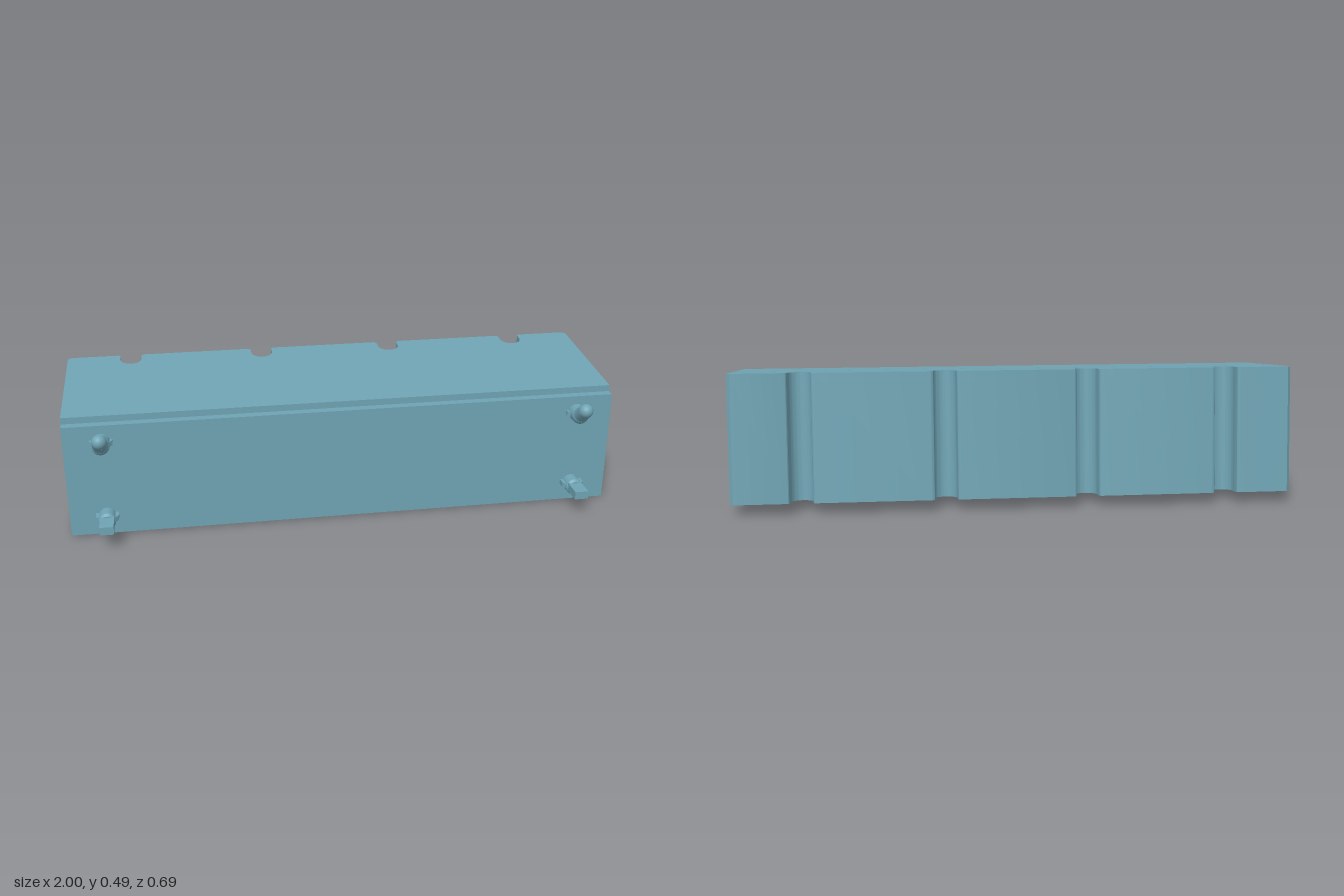
import * as THREE from 'three';
import { toCreasedNormals } from 'three/addons/utils/BufferGeometryUtils.js';

const material = new THREE.MeshStandardMaterial({ color: 0x6fa3b3 });
const TILT = THREE.MathUtils.degToRad(5);

function add(parent, name, geometry) {
  const mesh = new THREE.Mesh(geometry, material);
  mesh.name = name;
  parent.add(mesh);
  return mesh;
}

// Extrudes a side outline of [z, y] points from x0 (right end) down to x1
function sideExtrude(points, x0, x1) {
  const shape = new THREE.Shape(points.map(([z, y]) => new THREE.Vector2(z, y)));
  const g = new THREE.ExtrudeGeometry(shape, { depth: x0 - x1, bevelEnabled: false });
  const m = new THREE.Matrix4().makeBasis(
    new THREE.Vector3(0, 0, 1), new THREE.Vector3(0, 1, 0), new THREE.Vector3(-1, 0, 0));
  return g.applyMatrix4(m.setPosition(x0, 0, 0));
}

// Leaning back wall: plan outline with round grooves, extruded along its slope
function backWallGeometry() {
  const s = new THREE.Shape();
  const r = 0.04, depth = 0.08, lip = 0.014, chamfer = 0.012;
  s.moveTo(-1, -0.203);
  s.lineTo(1, -0.203);
  s.lineTo(1, -chamfer);
  s.lineTo(1 - chamfer, 0);
  for (const x of [0.755, 0.25, -0.255, -0.76]) {
    s.lineTo(x + r + lip, 0);
    s.quadraticCurveTo(x + r, 0, x + r, -lip);
    s.lineTo(x + r, r - depth);
    s.absarc(x, r - depth, r, 0, -Math.PI, true);
    s.lineTo(x - r, -lip);
    s.quadraticCurveTo(x - r, 0, x - r - lip, 0);
  }
  s.lineTo(-1 + chamfer, 0);
  s.lineTo(-1, -chamfer);
  s.closePath();
  const g = new THREE.ExtrudeGeometry(s, { depth: 0.4537, bevelEnabled: false, curveSegments: 12 });
  const sin = Math.sin(TILT), cos = Math.cos(TILT);
  const m = new THREE.Matrix4().makeBasis(
    new THREE.Vector3(1, 0, 0), new THREE.Vector3(0, sin, -cos), new THREE.Vector3(0, cos, sin));
  return toCreasedNormals(g.applyMatrix4(m.setPosition(0, 0.045, -0.345)), 0.6);
}

// Round rod between two [y, z] points
function rod(parent, name, r0, r1, [y0, z0], [y1, z1]) {
  const a = new THREE.Vector3(0, y0, z0), b = new THREE.Vector3(0, y1, z1);
  const mesh = add(parent, name, new THREE.CylinderGeometry(r1, r0, a.distanceTo(b), 24));
  mesh.position.lerpVectors(a, b, 0.5);
  mesh.quaternion.setFromUnitVectors(new THREE.Vector3(0, 1, 0), b.sub(a).normalize());
  return mesh;
}

function ball(parent, name, r, y, z) {
  add(parent, name, new THREE.SphereGeometry(r, 24, 16)).position.set(0, y, z);
}

// Small tapered ribs on both sides of a peg
function ribs(parent, y, zEnd) {
  const shape = new THREE.Shape([
    [-0.04, 0.215], [0.04, 0.215], [0.04, zEnd - 0.012], [0.028, zEnd],
    [-0.028, zEnd], [-0.04, zEnd - 0.012],
  ].map(([x, z]) => new THREE.Vector2(x, z)));
  const g = new THREE.ExtrudeGeometry(shape, { depth: 0.018, bevelEnabled: false });
  g.rotateX(Math.PI / 2);
  add(parent, 'pegRibs', g).position.y = y + 0.009;
}

// Upper peg: short stub bending upward to a round end
function hookPeg(x) {
  const peg = new THREE.Group();
  peg.name = 'hookPeg';
  peg.position.x = x;
  rod(peg, 'hookBase', 0.031, 0.031, [0.369, 0.215], [0.369, 0.26]);
  ball(peg, 'hookElbow', 0.031, 0.369, 0.26);
  rod(peg, 'hookArm', 0.028, 0.026, [0.369, 0.26], [0.407, 0.31]);
  ball(peg, 'hookTip', 0.026, 0.407, 0.31);
  ribs(peg, 0.368, 0.247);
  return peg;
}

// Lower peg: round stub with a flat tongue
function tonguePeg(x) {
  const peg = new THREE.Group();
  peg.name = 'tonguePeg';
  peg.position.x = x;
  rod(peg, 'tongueBase', 0.031, 0.031, [0.08, 0.215], [0.08, 0.268]);
  rod(peg, 'tongueCollar', 0.031, 0.023, [0.08, 0.268], [0.08, 0.277]);
  add(peg, 'tongue', new THREE.BoxGeometry(0.05, 0.03, 0.088)).position.set(0, 0.083, 0.304);
  ribs(peg, 0.083, 0.265);
  return peg;
}

export function createModel() {
  const model = new THREE.Group();
  model.name = 'wallMountedHolder';

  add(model, 'groovedBackWall', backWallGeometry());

  // Vertical mounting plate and sloping roof in one profile
  add(model, 'frontPlateAndRoof', sideExtrude([
    [0.13, 0.008], [0.222, 0.008], [0.222, 0.43], [0.19, 0.43], [0.19, 0.4537],
    [-0.104, 0.4795], [-0.108, 0.424], [0.13, 0.403],
  ], 1, -1));

  // Wall closing the left-hand side of the front; the other end stays open
  add(model, 'endWall', sideExtrude([
    [0.15, 0.003], [0.15, 0.008], [0.13, 0.008], [0.13, 0.403],
    [-0.108, 0.424], [-0.143, 0.027],
  ], -0.965, -1));

  for (const x of [-0.867, 0.867]) model.add(hookPeg(x), tonguePeg(x));
  return model;
}
